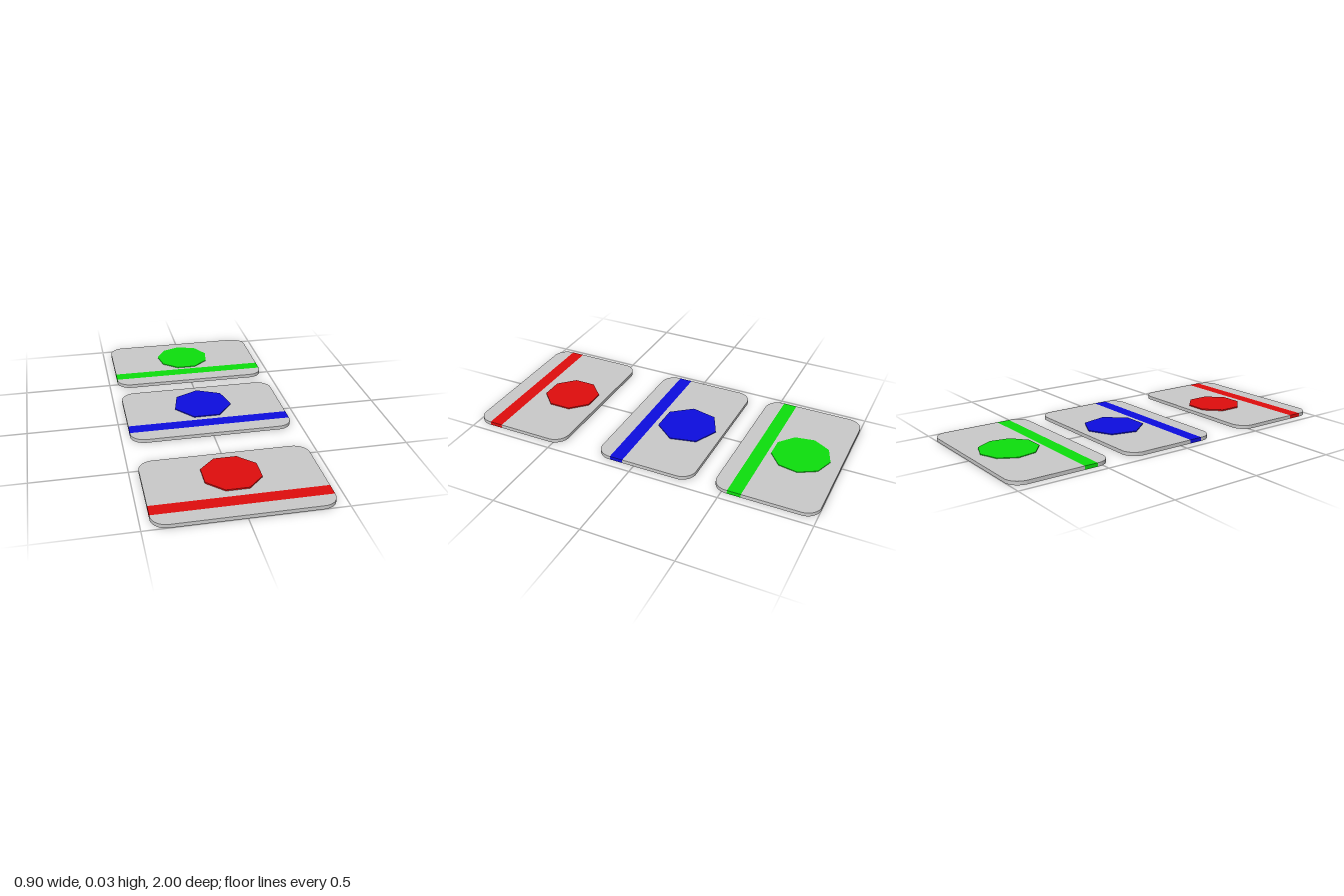
import * as THREE from 'three';
import { toCreasedNormals } from 'three/addons/utils/BufferGeometryUtils.js';

const HALF_W = 0.45, HALF_D = 0.278, RADIUS = 0.08, THICK = 0.02;
const STRIPE_BACK = 0.116, STRIPE_FRONT = 0.191; // stripe limits in z, from the card centre

const material = (color, flatShading = false) => new THREE.MeshStandardMaterial({ color, flatShading });

function addMesh(parent, name, geometry, mat) {
  const mesh = new THREE.Mesh(geometry, mat);
  mesh.name = name;
  parent.add(mesh);
  return mesh;
}

// Flat slab between two z limits; the back and/or front corners may be rounded
function slab(zBack, zFront, rBack, rFront) {
  const s = new THREE.Shape();
  const w = HALF_W, top = -zBack, bottom = -zFront;
  s.moveTo(-w + rFront, bottom);
  s.lineTo(w - rFront, bottom);
  if (rFront) s.absarc(w - rFront, bottom + rFront, rFront, -Math.PI / 2, 0);
  s.lineTo(w, top - rBack);
  if (rBack) s.absarc(w - rBack, top - rBack, rBack, 0, Math.PI / 2);
  s.lineTo(-w + rBack, top);
  if (rBack) s.absarc(-w + rBack, top - rBack, rBack, Math.PI / 2, Math.PI);
  s.lineTo(-w, bottom + rFront);
  if (rFront) s.absarc(-w + rFront, bottom + rFront, rFront, Math.PI, Math.PI * 1.5);
  const g = new THREE.ExtrudeGeometry(s, { depth: THICK, bevelEnabled: false, curveSegments: 10 });
  g.rotateX(-Math.PI / 2);
  return toCreasedNormals(g, 0.6);
}

// Card with a coloured stripe through it and a raised polygon emblem
function card({ name, color, z, sides, turn, radius, emblemZ, top }) {
  const group = new THREE.Group();
  group.name = name;
  group.position.z = z;
  const grey = material(0xcccccc), paint = material(color);
  addMesh(group, 'cardBack', slab(-HALF_D, STRIPE_BACK, RADIUS, 0), grey);
  addMesh(group, 'stripe', slab(STRIPE_BACK, STRIPE_FRONT, 0, 0), paint);
  addMesh(group, 'cardFront', slab(STRIPE_FRONT, HALF_D, 0, RADIUS), grey);

  const height = top - THICK + 0.005; // sunk slightly into the card
  const emblem = addMesh(group, 'emblem',
    new THREE.CylinderGeometry(radius, radius, height, sides, 1, false, turn), material(color, true));
  emblem.position.set(0, top - height / 2, emblemZ);
  return group;
}

export function createModel() {
  const model = new THREE.Group();
  model.name = 'keycards';
  const cards = [
    { name: 'greenCard', color: 0x0de10d, z: -0.722, sides: 9, turn: Math.PI, radius: 0.16, emblemZ: -0.055, top: 0.024 },
    { name: 'blueCard', color: 0x0d0de1, z: -0.05, sides: 7, turn: Math.PI, radius: 0.168, emblemZ: -0.065, top: 0.025 },
    { name: 'redCard', color: 0xe10d0d, z: 0.722, sides: 8, turn: Math.PI / 8, radius: 0.158, emblemZ: -0.078, top: 0.027 },
  ];
  for (const c of cards) model.add(card(c));
  return model;
}
